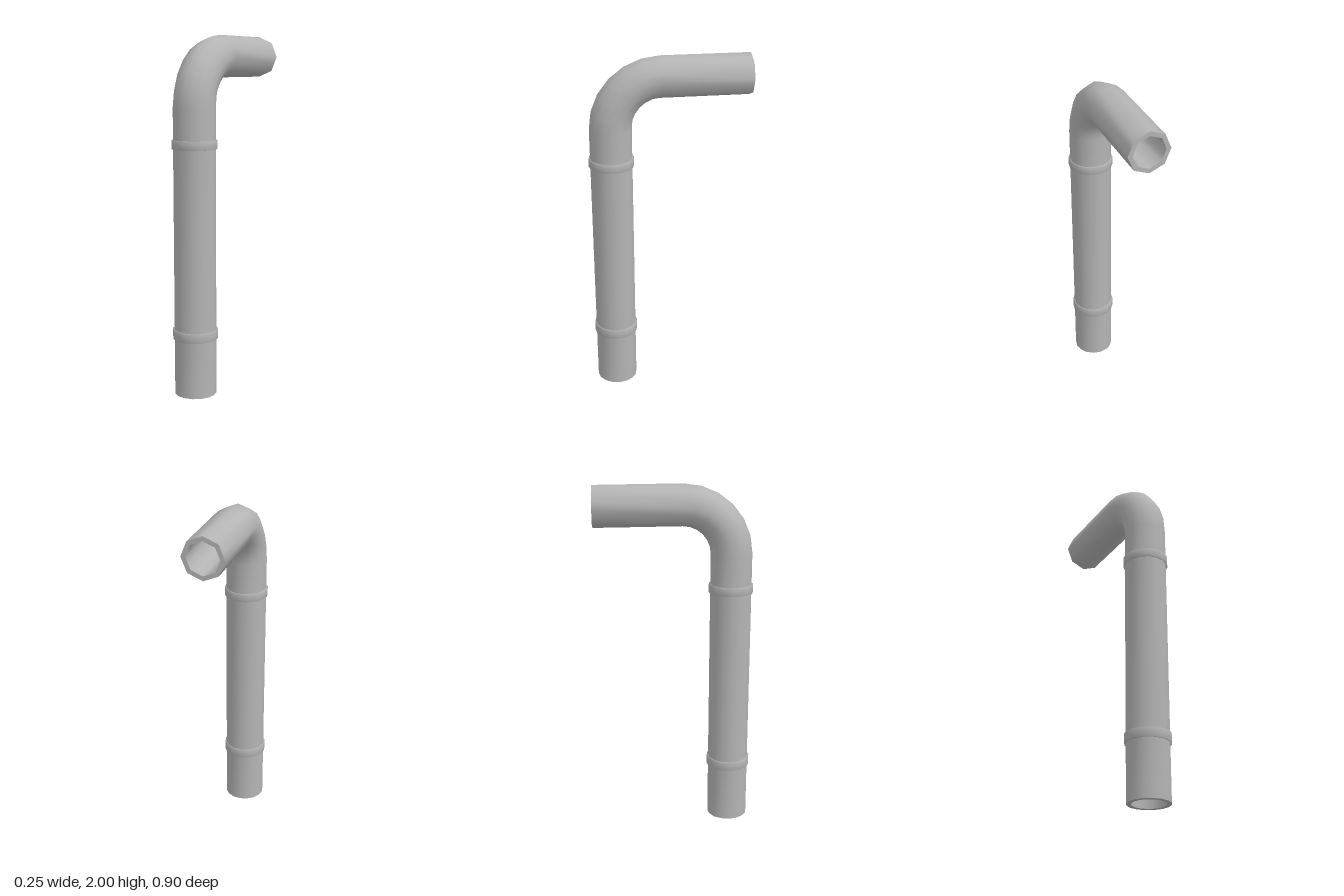
import * as THREE from 'three';

const SIDES = 16, R = 0.118, HOLE = 0.092, AXIS_Z = 0.325;
const BEND = { y: 1.607, z: 0.05, r: 0.275 };

// Path stations: centre (y, z), outward angle of the bend, and blend from 16 sides to 8
function station(y, z, angle, blend) {
  return { y, z, angle, blend };
}

// Smooth tube through the stations; inside = true faces the bore
function tube(stations, radius, inside = false) {
  const pos = [], index = [];
  for (const s of stations) {
    for (let i = 0; i < SIDES; i++) {
      const a = (i / SIDES) * Math.PI * 2;
      // odd corners sink onto the chord, so the section becomes an octagon
      const r = radius * (i % 2 ? 1 - s.blend * (1 - Math.cos(Math.PI / 8)) : 1);
      const n = r * Math.sin(a);
      pos.push(r * Math.cos(a), s.y + n * Math.sin(s.angle), s.z + n * Math.cos(s.angle));
    }
  }
  for (let j = 0; j < stations.length - 1; j++) {
    for (let i = 0; i < SIDES; i++) {
      const a = j * SIDES + i, b = j * SIDES + (i + 1) % SIDES;
      const c = a + SIDES, d = b + SIDES;
      if (inside) index.push(a, b, c, b, d, c);
      else index.push(a, c, b, b, c, d);
    }
  }
  const g = new THREE.BufferGeometry();
  g.setAttribute('position', new THREE.Float32BufferAttribute(pos, 3));
  g.setIndex(index);
  g.computeVertexNormals();
  return g;
}

export function createModel() {
  const group = new THREE.Group();
  const metal = new THREE.MeshStandardMaterial({ color: 0xb4b4b4 });
  metal.name = 'grey metal';

  const add = (name, geometry) => {
    const mesh = new THREE.Mesh(geometry, metal);
    mesh.name = name;
    group.add(mesh);
    return mesh;
  };
  const upright = (y) => station(y, AXIS_Z, 0, 0);

  // Quarter bend and the straight outlet to the back
  const elbow = [upright(1.41)];
  for (let k = 0; k <= 6; k++) {
    const t = (k / 6) * Math.PI / 2;
    elbow.push(station(BEND.y + BEND.r * Math.sin(t), BEND.z + BEND.r * Math.cos(t), t, k / 6));
  }
  elbow.push(station(1.877, -0.45, Math.PI / 2, 1));

  // Outer pipe sections
  add('lowerPipe', tube([upright(0), upright(0.345)], R));
  add('middlePipe', tube([upright(0.345), upright(1.41)], R));
  add('elbowPipe', tube(elbow, R));

  // Bore running through the whole pipe
  add('bore', tube([upright(0), ...elbow], HOLE, true));

  // Flat rims at the two open ends
  const bottomRim = add('bottomRim', new THREE.RingGeometry(HOLE, R, SIDES));
  bottomRim.rotation.x = Math.PI / 2;
  bottomRim.position.z = AXIS_Z;
  const outletRim = add('outletRim', new THREE.RingGeometry(HOLE, R, 8));
  outletRim.rotation.y = Math.PI;
  outletRim.position.set(0, 1.877, -0.45);

  // Joint collars
  for (const [name, y0, y1] of [['lowerCollar', 0.32, 0.375], ['upperCollar', 1.385, 1.435]]) {
    const profile = [[0.116, y0], [0.127, y0 + 0.002], [0.127, y1 - 0.002], [0.116, y1]]
      .map(([r, y]) => new THREE.Vector2(r, y));
    add(name, new THREE.LatheGeometry(profile, SIDES)).position.z = AXIS_Z;
  }
  return group;
}
